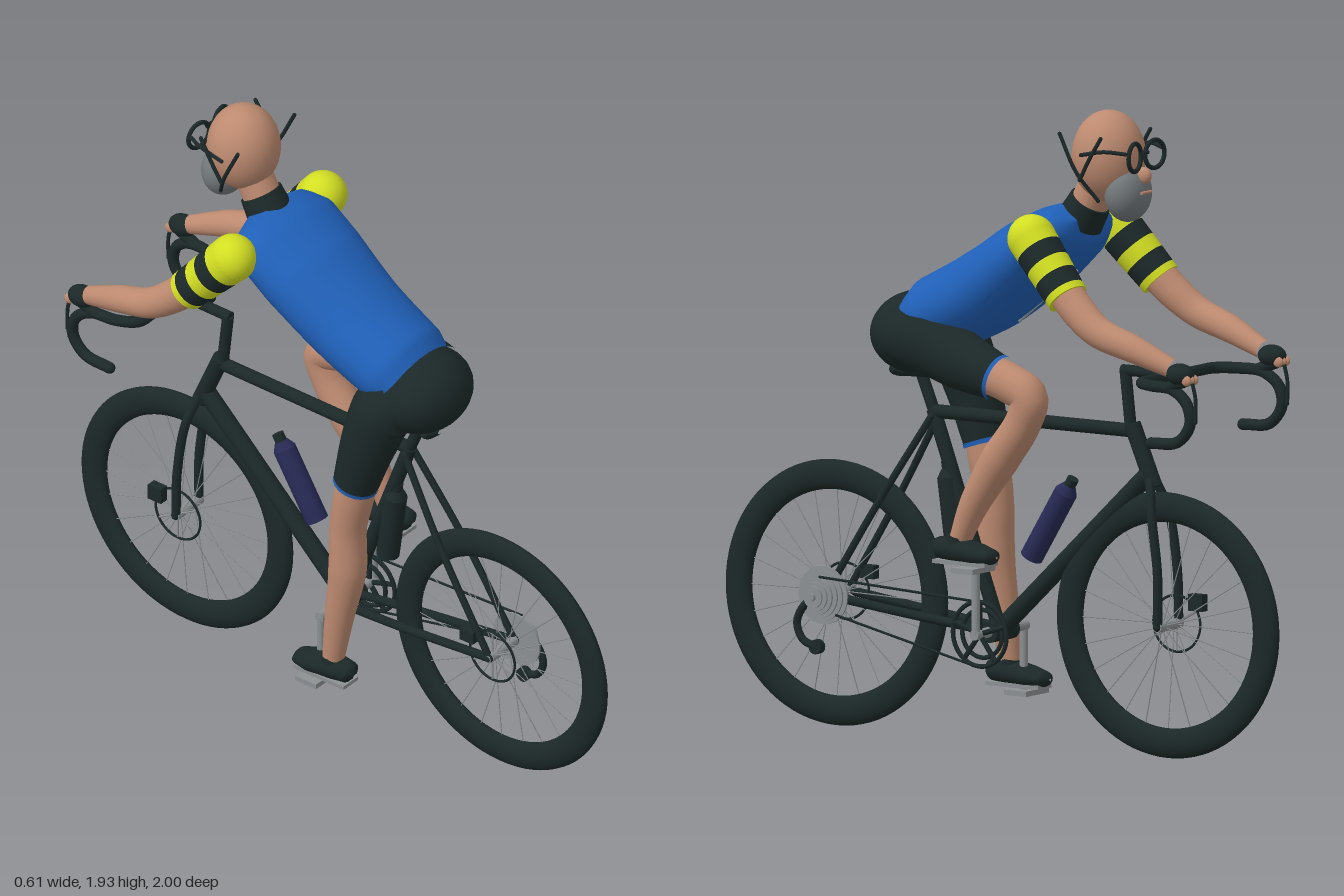
import * as THREE from 'three';
import { mergeVertices } from 'three/addons/utils/BufferGeometryUtils.js';

const mat = (name, color) => {
  const m = new THREE.MeshStandardMaterial({ color });
  m.name = name;
  return m;
};
const V = (p) => new THREE.Vector3(p[0], p[1], p[2]);

export function createModel() {
  const black = mat('black', 0x1c2828), skin = mat('skin', 0xbd8a70), blue = mat('blue', 0x2060b8);
  const yellow = mat('yellow', 0xd2de22), grey = mat('metal grey', 0x8c9092);
  const navy = mat('navy', 0x282a55), beardGrey = mat('beard grey', 0x747a7d);
  const model = new THREE.Group();
  model.name = 'cyclist';
  const bike = new THREE.Group(), rider = new THREE.Group();
  bike.name = 'bicycle';
  rider.name = 'rider';
  model.add(bike, rider);

  const add = (parent, name, geo, m, pos = [0, 0, 0]) => {
    const mesh = new THREE.Mesh(geo, m);
    mesh.name = name;
    mesh.position.set(...pos);
    parent.add(mesh);
    return mesh;
  };
  const ball = (parent, name, pos, r, m) => {
    const mesh = add(parent, name, new THREE.SphereGeometry(1, 28, 20), m, pos);
    mesh.scale.set(...(Array.isArray(r) ? r : [r, r, r]));
    return mesh;
  };
  // cylinder between two points
  const rod = (parent, name, a, b, r, m, sides = 14, r2 = r) => {
    const d = V(b).sub(V(a));
    const mesh = add(parent, name, new THREE.CylinderGeometry(r2, r, d.length(), sides), m);
    mesh.position.copy(V(a)).addScaledVector(d, 0.5);
    mesh.quaternion.setFromUnitVectors(new THREE.Vector3(0, 1, 0), d.normalize());
    return mesh;
  };
  const pipe = (parent, name, pts, r, m, closed = false) => {
    const curve = new THREE.CatmullRomCurve3(pts.map(V), closed);
    const mesh = add(parent, name, new THREE.TubeGeometry(curve, 40, r, 10, closed), m);
    if (!closed) [pts[0], pts[pts.length - 1]].forEach((p) => ball(parent, name + 'End', p, r, m));
    return mesh;
  };
  // loft through points [x, y, z, radius, sideways radius]
  const loft = (parent, name, pts, m, steps = 32) => {
    const curve = new THREE.CatmullRomCurve3(pts.map(V));
    const sides = 28, geo = new THREE.TubeGeometry(curve, steps, 1, sides), pos = geo.attributes.position;
    for (let i = 0; i <= steps; i++) {
      const c = curve.getPointAt(i / steps);
      const t = curve.getUtoTmapping(i / steps) * (pts.length - 1);
      const k = Math.min(Math.floor(t), pts.length - 2), f = t - k;
      const r = THREE.MathUtils.lerp(pts[k][3], pts[k + 1][3], f);
      const rx = THREE.MathUtils.lerp(pts[k][4] ?? pts[k][3], pts[k + 1][4] ?? pts[k + 1][3], f);
      for (let j = 0; j <= sides; j++) {
        const n = i * (sides + 1) + j;
        pos.setXYZ(n, c.x + (pos.getX(n) - c.x) * rx, c.y + (pos.getY(n) - c.y) * r, c.z + (pos.getZ(n) - c.z) * r);
      }
    }
    geo.deleteAttribute('normal');
    geo.deleteAttribute('uv');
    const welded = mergeVertices(geo, 1e-5);
    welded.computeVertexNormals();
    return add(parent, name, welded, m);
  };

  // wheels: deep rim with tyre, hub, spokes and disc rotor
  const wheel = (name, z) => {
    const g = new THREE.Group();
    g.name = name;
    g.position.set(0, 0.4, z);
    bike.add(g);
    const profile = [];
    for (let i = 0; i <= 20; i++) {
      const a = (i / 20) * Math.PI * 2;
      profile.push(new THREE.Vector2(0.355 + 0.045 * Math.cos(a), 0.025 * Math.sin(a)));
    }
    add(g, 'tyreAndRim', new THREE.LatheGeometry(profile, 80).rotateZ(Math.PI / 2), black);
    rod(g, 'hub', [-0.06, 0, 0], [0.06, 0, 0], 0.016, grey);
    for (let i = 0; i < 24; i++) {
      const a = (i / 24) * Math.PI * 2, c = Math.cos(a), s = Math.sin(a);
      rod(g, 'spoke', [i % 2 ? 0.03 : -0.03, 0.016 * c, 0.016 * s], [0, 0.32 * c, 0.32 * s], 0.0017, grey, 4);
    }
    add(g, 'rotor', new THREE.TorusGeometry(0.085, 0.004, 6, 48).rotateY(Math.PI / 2), black, [-0.045, 0, 0]);
    for (let i = 0; i < 6; i++) {
      const a = (i / 6) * Math.PI * 2;
      rod(g, 'rotorArm', [-0.045, 0, 0], [-0.045, 0.085 * Math.cos(a), 0.085 * Math.sin(a)], 0.003, grey, 6);
    }
  };
  wheel('rearWheel', 0.6);
  wheel('frontWheel', -0.6);
  add(bike, 'frontCaliper', new THREE.BoxGeometry(0.03, 0.05, 0.05), black, [-0.068, 0.465, -0.66]);
  add(bike, 'rearCaliper', new THREE.BoxGeometry(0.03, 0.04, 0.05), black, [-0.068, 0.46, 0.53]);

  // frame
  rod(bike, 'topTube', [0, 0.975, 0.25], [0, 0.975, -0.48], 0.021, black);
  rod(bike, 'seatTube', [0, 0.335, 0.01], [0, 0.98, 0.25], 0.022, black);
  rod(bike, 'downTube', [0, 0.335, 0.01], [0, 0.85, -0.53], 0.028, black);
  rod(bike, 'headTube', [0, 0.81, -0.55], [0, 0.995, -0.47], 0.026, black);
  rod(bike, 'seatPost', [0, 0.97, 0.246], [0, 1.1, 0.3], 0.018, black);
  loft(bike, 'saddle', [[0, 1.1, 0.38, 0.01, 0.03], [0, 1.1, 0.36, 0.028, 0.075], [0, 1.1, 0.26, 0.025, 0.05],
    [0, 1.09, 0.12, 0.02, 0.02], [0, 1.09, 0.1, 0.004, 0.004]], black);
  rod(bike, 'bottomBracket', [-0.06, 0.335, 0.01], [0.06, 0.335, 0.01], 0.032, black);
  for (const s of [-1, 1]) {
    pipe(bike, 'seatStay', [[s * 0.02, 0.96, 0.245], [s * 0.05, 0.7, 0.41], [s * 0.06, 0.4, 0.6]], 0.011, black);
    pipe(bike, 'chainStay', [[s * 0.035, 0.335, 0.02], [s * 0.05, 0.36, 0.25], [s * 0.06, 0.4, 0.6]], 0.014, black);
    pipe(bike, 'forkBlade', [[s * 0.015, 0.83, -0.545], [s * 0.045, 0.74, -0.57], [s * 0.052, 0.56, -0.597],
      [s * 0.055, 0.4, -0.6]], 0.014, black);
  }

  // stem, drop bar and brake hoods
  rod(bike, 'steerer', [0, 0.98, -0.465], [0, 1.155, -0.445], 0.018, black);
  rod(bike, 'stem', [0, 1.155, -0.435], [0, 1.155, -0.64], 0.017, black);
  for (const s of [-1, 1]) {
    pipe(bike, 'handlebar', [[0, 1.155, -0.635], [s * 0.12, 1.155, -0.63], [s * 0.19, 1.155, -0.635],
      [s * 0.225, 1.155, -0.69], [s * 0.235, 1.15, -0.78], [s * 0.24, 1.11, -0.835], [s * 0.24, 1.05, -0.845],
      [s * 0.24, 0.995, -0.8], [s * 0.24, 0.985, -0.705]], 0.0175, black);
    rod(bike, 'hood', [s * 0.235, 1.155, -0.76], [s * 0.24, 1.19, -0.85], 0.018, black);
    pipe(bike, 'brakeLever', [[s * 0.24, 1.19, -0.85], [s * 0.24, 1.13, -0.865], [s * 0.24, 1.06, -0.865]], 0.006, black);
  }

  // drivetrain
  rod(bike, 'axle', [-0.07, 0.4, 0.6], [0.14, 0.4, 0.6], 0.012, grey);
  for (let i = 0; i < 6; i++) {
    rod(bike, 'sprocket', [0.068 + i * 0.011, 0.4, 0.6], [0.074 + i * 0.011, 0.4, 0.6], 0.088 - i * 0.011, grey, 32);
  }
  for (const [x, r] of [[0.105, 0.097], [0.092, 0.072]]) {
    add(bike, 'chainring', new THREE.TorusGeometry(r, 0.007, 8, 48).rotateY(Math.PI / 2), black, [x, 0.335, 0.01]);
  }
  for (let i = 0; i < 5; i++) {
    const a = (i / 5) * Math.PI * 2;
    rod(bike, 'chainringArm', [0.105, 0.335, 0.01], [0.105, 0.335 + 0.095 * Math.cos(a), 0.01 + 0.095 * Math.sin(a)], 0.008, black, 8);
  }
  rod(bike, 'crankAxle', [-0.135, 0.335, 0.01], [0.135, 0.335, 0.01], 0.016, grey);
  rod(bike, 'upperChain', [0.108, 0.46, 0.59], [0.108, 0.432, 0.01], 0.004, black, 6);
  rod(bike, 'lowerChain', [0.108, 0.35, 0.53], [0.108, 0.237, 0.02], 0.004, black, 6);
  pipe(bike, 'derailleur', [[0.1, 0.4, 0.59], [0.115, 0.375, 0.635], [0.115, 0.32, 0.665], [0.115, 0.27, 0.645],
    [0.115, 0.25, 0.6]], 0.012, black);
  rod(bike, 'jockeyWheel', [0.1, 0.25, 0.595], [0.125, 0.25, 0.595], 0.022, black);
  for (const s of [-1, 1]) {
    const y = 0.335 + s * 0.2;
    rod(bike, 'crankArm', [s * 0.125, 0.335, 0.01], [s * 0.125, y, 0.01], 0.013, grey);
    add(bike, 'pedal', new THREE.BoxGeometry(0.12, 0.016, 0.08), grey, [s * 0.14, y, 0.01]);
  }

  // bottles
  const bottle = (name, a, b, m) => {
    rod(bike, name, a, b, 0.035, m, 24);
    const d = V(b).sub(V(a)).normalize();
    const at = (k) => V(b).addScaledVector(d, k).toArray();
    rod(bike, name + 'Shoulder', b, at(0.025), 0.035, m, 24, 0.02);
    rod(bike, name + 'Cap', at(0.025), at(0.05), 0.018, black, 16);
  };
  bottle('downTubeBottle', [0, 0.565, -0.105], [0, 0.77, -0.23], navy);
  bottle('seatTubeBottle', [0, 0.56, 0.165], [0, 0.78, 0.195], black);

  // torso and pelvis
  ball(rider, 'pelvis', [0, 1.21, 0.3], [0.165, 0.125, 0.14], black);
  loft(rider, 'jersey', [[0, 1.24, 0.285, 0.085, 0.14], [0, 1.27, 0.22, 0.12, 0.165], [0, 1.36, 0.04, 0.128, 0.175],
    [0, 1.47, -0.12, 0.122, 0.195], [0, 1.55, -0.23, 0.095, 0.205], [0, 1.59, -0.29, 0.065, 0.15],
    [0, 1.605, -0.315, 0.01, 0.06]], blue, 48);
  rod(rider, 'zip', [0, 1.27, -0.06], [0, 1.44, -0.27], 0.005, grey, 6);
  rod(rider, 'collar', [0, 1.59, -0.28], [0, 1.655, -0.32], 0.072, black, 28, 0.065);
  rod(rider, 'neck', [0, 1.6, -0.29], [0, 1.72, -0.355], 0.058, skin, 24);

  // head, beard, glasses and straps
  ball(rider, 'head', [0, 1.795, -0.385], [0.11, 0.138, 0.112], skin);
  ball(rider, 'beard', [0, 1.69, -0.455], [0.082, 0.088, 0.066], beardGrey);
  ball(rider, 'nose', [0, 1.745, -0.51], [0.018, 0.026, 0.028], skin);
  rod(rider, 'mouth', [-0.025, 1.695, -0.52], [0.025, 1.695, -0.52], 0.005, skin, 8);
  for (const s of [-1, 1]) {
    add(rider, 'lensFrame', new THREE.TorusGeometry(0.042, 0.007, 10, 36), black, [s * 0.052, 1.805, -0.515]).rotation.y = s * 0.15;
    pipe(rider, 'glassesTemple', [[s * 0.095, 1.82, -0.51], [s * 0.122, 1.825, -0.45], [s * 0.125, 1.81, -0.37]], 0.006, black);
    pipe(rider, 'rearStrap', [[s * 0.135, 1.87, -0.3], [s * 0.13, 1.76, -0.355], [s * 0.085, 1.67, -0.405]], 0.006, black);
    pipe(rider, 'frontStrap', [[s * 0.13, 1.865, -0.445], [s * 0.132, 1.8, -0.405], [s * 0.128, 1.735, -0.368]], 0.006, black);
  }
  rod(rider, 'glassesBridge', [-0.014, 1.815, -0.517], [0.014, 1.815, -0.517], 0.006, black);

  // arms with striped sleeves and gloves
  for (const s of [-1, 1]) {
    const a = V([s * 0.215, 1.56, -0.255]), b = V([s * 0.243, 1.395, -0.405]);
    ball(rider, 'shoulder', a.toArray(), 0.073, yellow);
    const cuts = [0, 0.2, 0.45, 0.66, 0.9, 1];
    for (let i = 0; i < 5; i++) {
      const p = a.clone().lerp(b, cuts[i]), q = a.clone().lerp(b, cuts[i + 1]);
      rod(rider, 'sleeveBand', p.toArray(), q.toArray(), 0.073 - 0.01 * cuts[i], i % 2 ? black : yellow, 28, 0.073 - 0.01 * cuts[i + 1]);
    }
    loft(rider, 'arm', [[s * 0.235, 1.44, -0.365, 0.055], [s * 0.25, 1.36, -0.45, 0.052], [s * 0.26, 1.305, -0.53, 0.047],
      [s * 0.255, 1.265, -0.65, 0.042], [s * 0.24, 1.215, -0.78, 0.029]], skin);
    ball(rider, 'glove', [s * 0.24, 1.2, -0.81], [0.036, 0.033, 0.046], black);
    for (let i = 0; i < 3; i++) {
      ball(rider, 'finger', [s * (0.222 + 0.018 * i), 1.185, -0.845], [0.01, 0.016, 0.017], skin);
    }
  }

  // legs: shorts with blue cuffs, bare shin, shoe on the pedal
  const leg = (name, thigh, cuff, shin, shoe) => {
    const g = new THREE.Group();
    g.name = name;
    rider.add(g);
    loft(g, 'shorts', thigh, black);
    loft(g, 'cuff', cuff, blue, 4);
    loft(g, 'shin', shin, skin, 48);
    const [x, y] = shoe;
    loft(g, 'shoe', [[x, y + 0.04, 0.15, 0.008], [x, y + 0.045, 0.135, 0.032, 0.035], [x, y + 0.045, 0.07, 0.04, 0.043],
      [x, y + 0.035, -0.01, 0.033, 0.048], [x, y + 0.03, -0.06, 0.022, 0.036], [x, y + 0.03, -0.075, 0.004]], black);
    rod(g, 'sock', [x, y + 0.05, 0.07], [x, y + 0.085, 0.065], 0.04, black, 24, 0.035);
    add(g, 'sole', new THREE.BoxGeometry(0.07, 0.012, 0.19), grey, [x, y + 0.008, 0.04]);
  };
  leg('rightLeg',
    [[0.09, 1.21, 0.29, 0.09], [0.105, 1.205, 0.2, 0.105, 0.09], [0.12, 1.155, 0.06, 0.09, 0.082], [0.127, 1.115, -0.07, 0.069]],
    [[0.127, 1.117, -0.065, 0.071], [0.127, 1.113, -0.078, 0.07]],
    [[0.125, 1.13, -0.02, 0.06], [0.127, 1.1, -0.12, 0.06], [0.13, 1.065, -0.185, 0.058], [0.13, 0.99, -0.165, 0.055],
      [0.13, 0.87, -0.08, 0.058], [0.133, 0.73, 0.01, 0.045], [0.135, 0.62, 0.06, 0.033]],
    [0.138, 0.545]);
  leg('leftLeg',
    [[-0.09, 1.22, 0.29, 0.08], [-0.11, 1.17, 0.24, 0.1, 0.09], [-0.122, 1.05, 0.195, 0.088, 0.082], [-0.125, 0.88, 0.145, 0.07]],
    [[-0.125, 0.885, 0.147, 0.072], [-0.125, 0.872, 0.143, 0.071]],
    [[-0.125, 0.93, 0.16, 0.06], [-0.125, 0.82, 0.135, 0.062], [-0.127, 0.7, 0.115, 0.056], [-0.13, 0.55, 0.115, 0.058],
      [-0.136, 0.38, 0.09, 0.045], [-0.14, 0.21, 0.068, 0.033]],
    [-0.14, 0.145]);
  return model;
}
